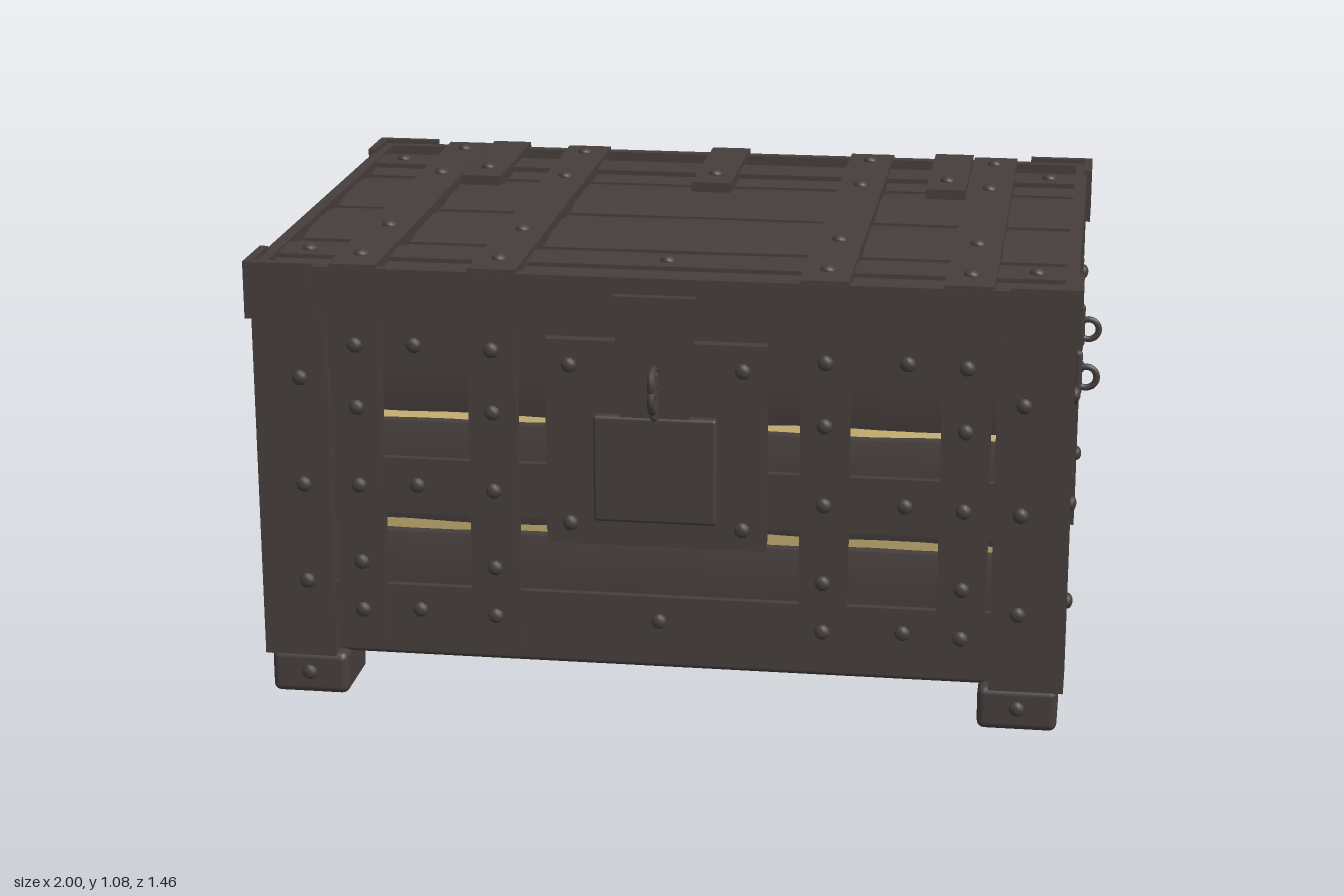
import * as THREE from 'three';
import { RoundedBoxGeometry } from 'three/addons/geometries/RoundedBoxGeometry.js';

const dark = new THREE.MeshStandardMaterial({ color: 0x463e3d });
dark.name = 'dark wood and iron';
const gold = new THREE.MeshStandardMaterial({ color: 0xbfab6e });
gold.name = 'gold';

const CZ = -0.035; // the body sits slightly behind the lock

function put(parent, name, geometry, x, y, z, mat = dark) {
  const m = new THREE.Mesh(geometry, mat);
  m.name = name;
  m.position.set(x, y, z);
  parent.add(m);
  return m;
}
const box = (p, name, w, h, d, x, y, z) => put(p, name, new THREE.BoxGeometry(w, h, d), x, y, z);
const soft = (p, name, w, h, d, r, x, y, z) => put(p, name, new RoundedBoxGeometry(w, h, d, 2, r), x, y, z);

// Plank along x with worn, slightly wavy long edges
function plankGeometry(len, h, t, seed) {
  const g = new THREE.BoxGeometry(len, h, t, 18, 4, 1);
  const p = g.attributes.position;
  for (let i = 0; i < p.count; i++) {
    const x = p.getX(i), y = p.getY(i), z = p.getZ(i);
    if (Math.abs(y) > h * 0.45) {
      const wear = 0.004 * (1 + Math.sin(x * 5 + seed * 2.3 + Math.sign(y)) * Math.cos(x * 11 + seed));
      p.setXYZ(i, x, y - Math.sign(y) * wear, z * 0.55);
    }
  }
  g.computeVertexNormals();
  return g;
}

// Domed rivet facing +z
const rivetGeo = new THREE.SphereGeometry(0.019, 10, 4, 0, Math.PI * 2, 0, Math.PI / 2);
rivetGeo.rotateX(Math.PI / 2).scale(1, 1, 0.7);
const rivet = (p, x, y, z) => put(p, 'rivet', rivetGeo, x, y, z);

// One wall facing +z, strap surface at z = 0
function wall(name, half, straps, postWidth, bandRivets, strapRivets) {
  const g = new THREE.Group();
  g.name = name;
  [[0.15, 0.41], [0.432, 0.683], [0.698, 0.95]].forEach(([a, b], i) =>
    put(g, 'wallPlank', plankGeometry(half * 2 - 0.07, b - a, 0.05, i + half * 7), 0, (a + b) / 2, -0.06));
  [[0.15, 0.28], [0.46, 0.595], [0.81, 0.94]].forEach(([a, b], i) => {
    box(g, 'horizontalBand', half * 2 - 0.05, b - a, 0.02, 0, (a + b) / 2, -0.027);
    const y = [0.22, 0.53, 0.87][i];
    for (const x of bandRivets) rivet(g, x, y, -0.017);
  });
  for (const x of straps) {
    box(g, 'verticalStrap', 0.112, 0.8, 0.035, x, 0.54, -0.0175);
    for (const y of strapRivets) rivet(g, x, y, 0);
  }
  // Corner post plate at each end
  for (const s of [-1, 1]) {
    box(g, 'cornerPost', postWidth, 0.845, 0.05, s * (half + 0.008 - postWidth / 2), 0.523, -0.015);
    for (const y of [0.22, 0.29, 0.53, 0.79, 0.87].filter((_, i) => i % 2 || i === 2))
      rivet(g, s * (half - 0.1), y, 0.01);
  }
  return g;
}

// Riveted plate, tapering box and ring lock on the front
function lock() {
  const g = new THREE.Group();
  g.name = 'lock';
  box(g, 'lockPlate', 0.51, 0.49, 0.03, 0, 0.665, 0.635);
  for (const x of [-0.2, 0.2]) for (const y of [0.47, 0.85]) rivet(g, x, y, 0.65);
  soft(g, 'lockCase', 0.285, 0.255, 0.03, 0.008, 0, 0.61, 0.655);
  const s = new THREE.Shape([[-0.095, 1.02], [-0.075, 0.665], [0.075, 0.665], [0.095, 1.02]]
    .map(a => new THREE.Vector2(...a)));
  put(g, 'hasp', new THREE.ExtrudeGeometry(s, { depth: 0.022, bevelEnabled: false }), 0, 0, 0.645);
  for (const [y, z, r] of [[0.825, 0.685, 0.032], [0.79, 0.69, 0.03]]) {
    const ring = put(g, 'lockRing', new THREE.TorusGeometry(r, 0.009, 8, 20), 0, y, z);
    ring.rotation.y = Math.PI / 2;
  }
  put(g, 'lockPin', new THREE.CapsuleGeometry(0.01, 0.1, 4, 10), 0, 0.79, 0.67);
  return g;
}

// Plate with an eye ring and an upright pin, facing +z
function sideFitting(x) {
  const g = new THREE.Group();
  g.name = 'sideFitting';
  box(g, 'fittingPlate', 0.122, 0.15, 0.02, x, 0.727, -0.004);
  const eye = put(g, 'eyeRing', new THREE.TorusGeometry(0.026, 0.008, 8, 20), x, 0.73, 0.031);
  eye.rotation.y = Math.PI / 2;
  put(g, 'upperPin', new THREE.CapsuleGeometry(0.015, 0.075, 4, 10), x, 0.83, -0.004);
  put(g, 'lowerPin', new THREE.CapsuleGeometry(0.011, 0.09, 4, 10), x, 0.74, 0.012);
  put(g, 'pinFoot', new THREE.SphereGeometry(0.022, 12, 8), x, 0.683, 0.008).scale.z = 0.5;
  return g;
}

function lid() {
  const g = new THREE.Group();
  g.name = 'lid';
  // Top planks
  [[0.29, 0.605], [-0.055, 0.272], [-0.402, -0.071], [-0.685, -0.42]].forEach(([a, b], i) => {
    const p = put(g, 'lidPlank', plankGeometry(1.86, b - a, 0.05, i * 3), 0, 1.015, (a + b) / 2);
    p.rotation.x = -Math.PI / 2;
  });
  // Rim
  for (const s of [-1, 1]) {
    box(g, 'lidRimLong', 1.89, 0.115, 0.03, 0, 0.9975, CZ + s * 0.652);
    box(g, 'lidRimShort', 0.03, 0.115, 1.3, s * 0.93, 0.9975, CZ);
    // Corner caps
    for (const t of [-1, 1]) {
      box(g, 'cornerCapLong', 0.16, 0.135, 0.02, s * 0.877, 0.998, CZ + t * 0.672);
      box(g, 'cornerCapShort', 0.02, 0.135, 0.15, s * 0.947, 0.998, CZ + t * 0.607);
    }
  }
  const topRivet = (x, y, z) => { rivet(g, x, y, z).rotation.x = -Math.PI / 2; };
  // Lengthwise bands, then crosswise straps
  for (const z of [0.445, -0.53]) {
    box(g, 'lidBand', 1.87, 0.02, 0.112, 0, 1.04, z);
    for (const x of [-0.85, 0, 0.85]) topRivet(x, 1.05, z);
  }
  for (const x of [-0.705, -0.38, 0.38, 0.705]) {
    box(g, 'lidStrap', 0.112, 0.03, 1.33, x, 1.048, CZ);
    for (const z of [0.53, 0.245, -0.33, -0.62]) topRivet(x, 1.063, z);
  }
  return g;
}

function hinge(x) {
  const g = new THREE.Group();
  g.name = 'hinge';
  box(g, 'hingeTopLeaf', 0.1, 0.03, 0.41, x, 1.05, -0.505);
  box(g, 'hingeRimLeaf', 0.1, 0.12, 0.02, x, 1.005, -0.708);
  box(g, 'hingeLowerLeaf', 0.1, 0.27, 0.02, x, 0.815, -0.7);
  for (const i of [-1, 0, 1]) {
    const k = put(g, 'hingeKnuckle', new THREE.CylinderGeometry(0.019, 0.019, 0.077, 12), x + i * 0.081, 0.95, -0.71);
    k.rotation.z = Math.PI / 2;
  }
  rivet(g, x, 1.065, -0.4).rotation.x = -Math.PI / 2;
  rivet(g, x, 0.73, -0.71).rotation.y = Math.PI;
  return g;
}

// Heap of gold with loose coins on top
function treasure() {
  const g = new THREE.Group();
  g.name = 'treasure';
  const heap = new THREE.BoxGeometry(1.56, 0.48, 1.02, 16, 2, 12);
  const p = heap.attributes.position;
  for (let i = 0; i < p.count; i++)
    if (p.getY(i) > 0.2) p.setY(i, 0.23 + 0.02 * Math.sin(p.getX(i) * 9) * Math.cos(p.getZ(i) * 8));
  heap.computeVertexNormals();
  put(g, 'goldHeap', heap, 0, 0.4, CZ, gold);
  const coin = new THREE.CylinderGeometry(0.04, 0.04, 0.012, 14);
  for (let i = 0; i < 50; i++) {
    const c = put(g, 'coin', coin, Math.sin(i * 2.4) * 0.1 * Math.sqrt(i), 0.645 + (i % 3) * 0.01,
      CZ + Math.cos(i * 2.4) * 0.06 * Math.sqrt(i), gold);
    c.rotation.set(Math.sin(i) * 0.4, 0, Math.cos(i * 3) * 0.4);
  }
  return g;
}

export function createModel() {
  const model = new THREE.Group();
  model.name = 'treasureChest';

  // Floor planks and feet
  for (const [a, b] of [[0.19, 0.59], [-0.22, 0.177], [-0.66, -0.232]])
    soft(model, 'floorPlank', 1.8, 0.06, b - a, 0.012, 0, 0.126, (a + b) / 2);
  for (const x of [-0.84, 0.84]) for (const z of [0.535, -0.605]) {
    soft(model, 'foot', 0.185, 0.105, 0.19, 0.018, x, 0.0525, z);
    const s = z > 0 ? 1 : -1;
    const r = rivet(model, x, 0.055, z + s * 0.094);
    if (s < 0) r.rotation.y = Math.PI;
  }

  // Walls
  const straps = [-0.705, -0.385, 0.385, 0.705];
  const longRivets = [0.22, 0.34, 0.53, 0.72, 0.87];
  for (const s of [1, -1]) {
    const long = wall(s > 0 ? 'frontWall' : 'backWall', 0.935, straps, 0.17, [-0.57, 0, 0.57], longRivets);
    long.position.z = CZ + s * 0.66;
    long.rotation.y = s > 0 ? 0 : Math.PI;
    const side = wall(s > 0 ? 'leftWall' : 'rightWall', 0.66, [-0.36, 0.36], 0.148, [0], [0.22, 0.53, 0.87]);
    side.position.set(s * 0.935, 0, CZ);
    side.rotation.y = s * Math.PI / 2;
    for (const x of [-0.213, 0.213]) side.add(sideFitting(x));
    model.add(long, side);
  }

  model.add(lid(), lock(), treasure());
  for (const x of [-0.595, 0, 0.595]) model.add(hinge(x));
  return model;
}
